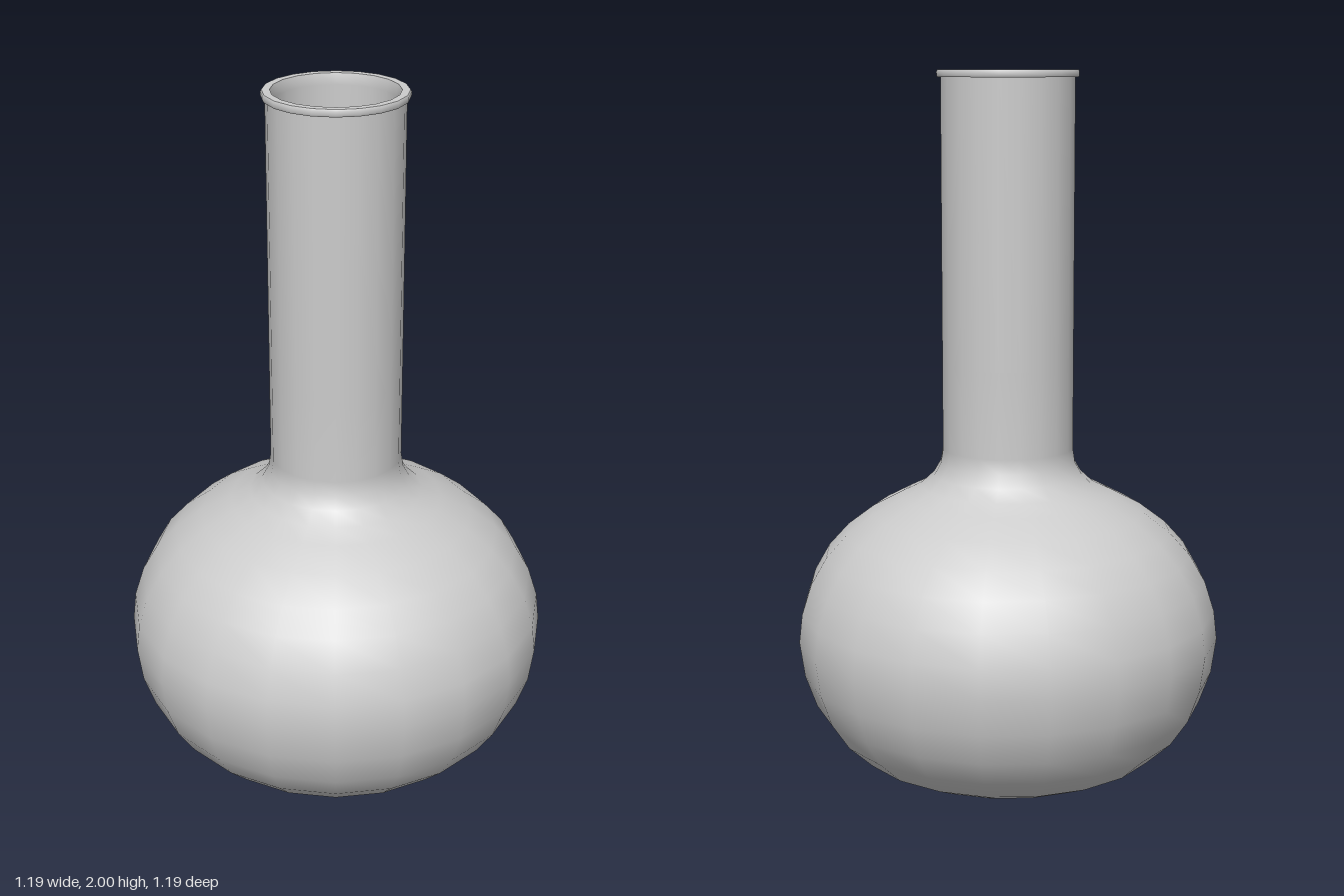
import * as THREE from 'three';

const SIDES = 20;

// Revolves a profile of [radius, height] pairs; going up faces outward, going down faces inward
function turned(name, profile) {
  const points = profile.map(([r, y]) => new THREE.Vector2(r, y));
  const material = new THREE.MeshStandardMaterial({ color: 0xcccccc });
  const mesh = new THREE.Mesh(new THREE.LatheGeometry(points, SIDES), material);
  mesh.name = name;
  return mesh;
}

export function createModel() {
  const group = new THREE.Group();
  group.name = 'flask';

  // Round bulb with a shallow base, flaring into the straight neck
  group.add(turned('outerWall', [
    [0, 0], [0.12, 0.008], [0.24, 0.025], [0.35, 0.053], [0.43, 0.09],
    [0.5, 0.155], [0.55, 0.23], [0.582, 0.32], [0.596, 0.42], [0.587, 0.5],
    [0.56, 0.585], [0.517, 0.66], [0.46, 0.723], [0.385, 0.78], [0.3, 0.825],
    [0.245, 0.852], [0.21, 0.885], [0.19, 0.92], [0.184, 0.96], [0.184, 1.2], [0.184, 1.98],
  ]));

  // Hollow inside, from the mouth down to the floor
  group.add(turned('innerWall', [
    [0.171, 2], [0.163, 1.97], [0.163, 0.96], [0.17, 0.91], [0.19, 0.872],
    [0.23, 0.836], [0.29, 0.806], [0.375, 0.76], [0.447, 0.706], [0.5, 0.647],
    [0.541, 0.577], [0.567, 0.497], [0.576, 0.42], [0.562, 0.325], [0.531, 0.24],
    [0.485, 0.17], [0.42, 0.109], [0.345, 0.073], [0.24, 0.045], [0.12, 0.028], [0, 0.02],
  ]));

  // Thin lip around the mouth
  group.add(turned('lipUnderside', [[0.184, 1.98], [0.192, 1.98]]));
  group.add(turned('lipEdge', [[0.192, 1.98], [0.195, 1.985], [0.195, 1.995], [0.192, 2]]));
  group.add(turned('lipTop', [[0.192, 2], [0.171, 2]]));

  return group;
}
